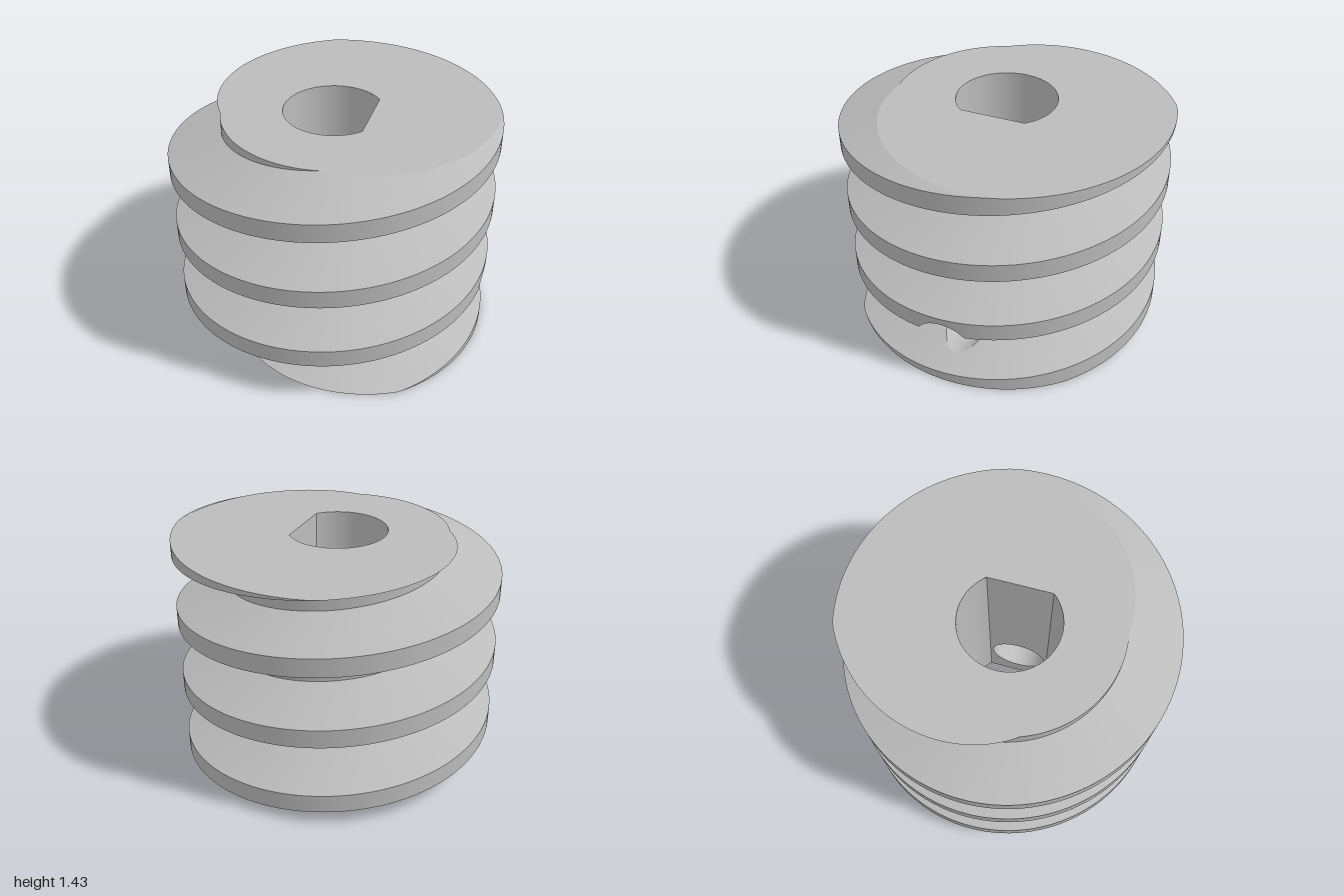
import * as THREE from 'three';

const HEIGHT = 1.43, PITCH = 0.45, ROOT = 0.675, OUTER = 1;
const CREST_HALF = 0.0575, BASE_HALF = 0.175; // half widths of the thread at crest and root
const BORE = 0.305, FLAT_X = 0.23;            // D-shaped bore
const HOLE_Y = 0.29, HOLE_R = 0.18;           // radial set-screw hole towards +x
const STEPS = 144;                            // segments per turn
const TAU = Math.PI * 2;

const polar = (r, a, y) => new THREE.Vector3(r * Math.cos(a), y, -r * Math.sin(a));
const crestY = (a) => 0.005 + PITCH * a / TAU;

// Outside radius of the worm at an angle and height
function radiusAt(a, y) {
  let d = y - crestY(a);
  d = Math.abs(d - PITCH * Math.round(d / PITCH));
  const t = THREE.MathUtils.clamp((BASE_HALF - d) / (BASE_HALF - CREST_HALF), 0, 1);
  return ROOT + (OUTER - ROOT) * t;
}

// Grid surface from a point function, leaving out collapsed triangles
function sheet(nu, nv, point) {
  const pos = [], index = [], pts = [];
  for (let i = 0; i <= nu; i++) {
    for (let j = 0; j <= nv; j++) {
      const p = point(i, j);
      pts.push(p);
      pos.push(p.x, p.y, p.z);
    }
  }
  const tri = new THREE.Triangle();
  const add = (a, b, c) => {
    if (tri.set(pts[a], pts[b], pts[c]).getArea() > 1e-9) index.push(a, b, c);
  };
  for (let i = 0; i < nu; i++) {
    for (let j = 0; j < nv; j++) {
      const a = i * (nv + 1) + j, b = a + nv + 1;
      add(a, b, a + 1);
      add(b, b + 1, a + 1);
    }
  }
  const g = new THREE.BufferGeometry();
  g.setAttribute('position', new THREE.Float32BufferAttribute(pos, 3));
  g.setIndex(index);
  g.computeVertexNormals();
  return g;
}

// Cut the set-screw hole out of a surface, keeping its smooth normals
function cutHole(geometry) {
  const g = geometry.toNonIndexed();
  const P = g.attributes.position, N = g.attributes.normal;
  const pos = [], nor = [];
  const emit = (v) => { pos.push(...v.p.toArray()); nor.push(...v.n.toArray()); };
  for (let i = 0; i < P.count; i += 3) {
    const poly = [], out = [];
    for (let k = 0; k < 3; k++) {
      const p = new THREE.Vector3().fromBufferAttribute(P, i + k);
      const n = new THREE.Vector3().fromBufferAttribute(N, i + k);
      poly.push({ p, n, f: p.x > 0 ? Math.hypot(p.z, p.y - HOLE_Y) - HOLE_R : 1 });
    }
    poly.forEach((a, k) => {
      const b = poly[(k + 1) % 3];
      if (a.f >= 0) out.push(a);
      if ((a.f >= 0) !== (b.f >= 0)) {
        const t = a.f / (a.f - b.f);
        out.push({ p: a.p.clone().lerp(b.p, t), n: a.n.clone().lerp(b.n, t).normalize() });
      }
    });
    for (let k = 1; k + 1 < out.length; k++) [out[0], out[k], out[k + 1]].forEach(emit);
  }
  const r = new THREE.BufferGeometry();
  r.setAttribute('position', new THREE.Float32BufferAttribute(pos, 3));
  r.setAttribute('normal', new THREE.Float32BufferAttribute(nor, 3));
  return r;
}

export function createModel() {
  const group = new THREE.Group();
  group.name = 'wormGear';
  const metal = new THREE.MeshStandardMaterial({ color: 0xbcbcbc });
  metal.name = 'grey metal';
  const add = (name, geometry) => {
    const mesh = new THREE.Mesh(geometry, metal);
    mesh.name = name;
    group.add(mesh);
  };

  // Helical bands of the thread, trimmed flat at both ends
  const bands = [
    ['threadLowerFlank', -BASE_HALF, -CREST_HALF],
    ['threadCrest', -CREST_HALF, CREST_HALF],
    ['threadUpperFlank', CREST_HALF, BASE_HALF],
    ['threadRoot', BASE_HALF, PITCH - BASE_HALF],
  ];
  const rows = 4;
  for (const [name, from, to] of bands) {
    add(name, cutHole(sheet(STEPS * 6, rows, (i, j) => {
      const a = (i / STEPS - 2) * TAU;
      const y = crestY(a) + from + (to - from) * j / rows;
      const yc = THREE.MathUtils.clamp(y, 0, HEIGHT);
      return polar(radiusAt(a, yc), a, yc);
    })));
  }

  // Flat end faces around the D-shaped bore
  const corner = Math.acos(FLAT_X / BORE);
  const angles = [corner, TAU - corner];
  for (let i = 0; i <= STEPS; i++) angles.push(i / STEPS * TAU);
  angles.sort((a, b) => a - b);
  const boreAt = (a) => Math.cos(a) > 0 ? Math.min(BORE, FLAT_X / Math.cos(a)) : BORE;
  const endFace = (y, inner) => sheet(angles.length - 1, 1, (i, j) => {
    const a = angles[i];
    return polar(j === inner ? boreAt(a) : radiusAt(a, y), a, y);
  });
  add('topFace', endFace(HEIGHT, 1));
  add('bottomFace', endFace(0, 0));

  // Round wall of the bore
  add('boreWall', sheet(64, 1, (i, j) =>
    polar(BORE, corner + (TAU - 2 * corner) * i / 64, j ? 0 : HEIGHT)));

  // Flat wall of the bore, pierced by the set-screw hole
  const half = Math.sqrt(BORE ** 2 - FLAT_X ** 2);
  const flat = new THREE.Shape();
  flat.moveTo(-half, 0).lineTo(half, 0).lineTo(half, HEIGHT).lineTo(-half, HEIGHT).closePath();
  flat.holes.push(new THREE.Path().absarc(0, HOLE_Y, HOLE_R, 0, TAU, true));
  add('boreFlat', new THREE.ShapeGeometry(flat, 48).rotateY(-Math.PI / 2).translate(FLAT_X, 0, 0));

  // Wall of the set-screw hole, following the thread at its mouth
  add('screwHoleWall', sheet(96, 1, (i, j) => {
    const t = i / 96 * TAU;
    const y = HOLE_Y + HOLE_R * Math.sin(t), z = HOLE_R * Math.cos(t);
    let x = 0.8;
    for (let k = 0; k < 12; k++) x = Math.sqrt(radiusAt(Math.atan2(-z, x), y) ** 2 - z * z);
    return new THREE.Vector3(j ? x : FLAT_X, y, z);
  }));

  return group;
}
